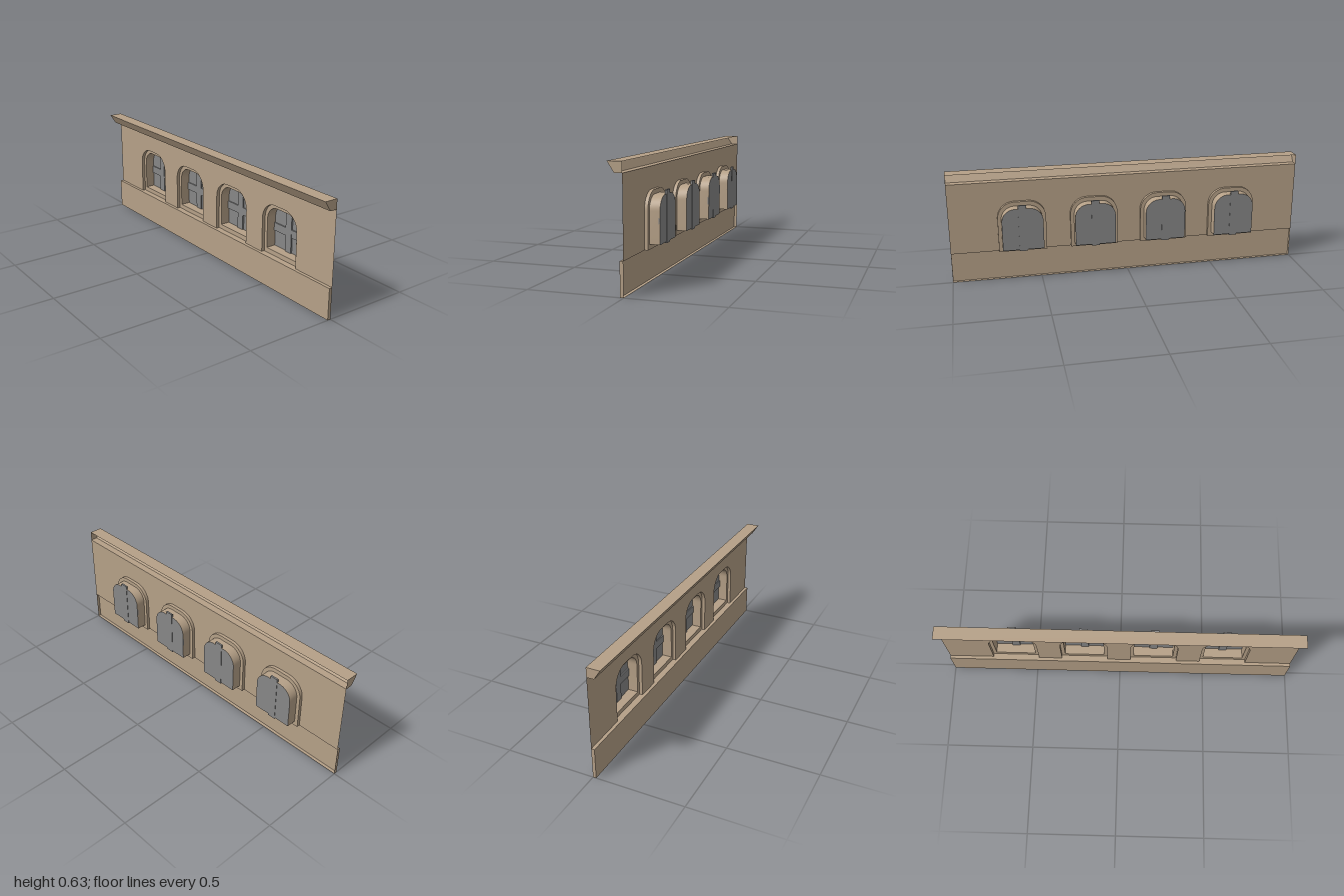
import * as THREE from 'three';
import { mergeGeometries, toCreasedNormals } from 'three/addons/utils/BufferGeometryUtils.js';

const SILL = 0.172, WALL_TOP = 0.576;
const FRAME_Z = -0.018, GLASS_Z = -0.073;
const CENTRES = [-0.61, -0.207, 0.195, 0.6];

// Round-cornered arch outline, counter-clockwise from bottom right to bottom left
function archPoints(half, bottom, top, radius) {
  const pts = [new THREE.Vector2(half, bottom)];
  for (const [cx, start] of [[half - radius, 0], [radius - half, Math.PI / 2]]) {
    for (let i = 0; i <= 10; i++) {
      const a = start + (i / 10) * Math.PI / 2;
      pts.push(new THREE.Vector2(cx + radius * Math.cos(a), top - radius + radius * Math.sin(a)));
    }
  }
  pts.push(new THREE.Vector2(-half, bottom));
  return pts;
}

// Surface swept along z from an outline, without end faces
function sweep(pts, z0, z1, closed) {
  const pos = [];
  const count = closed ? pts.length : pts.length - 1;
  for (let i = 0; i < count; i++) {
    const a = pts[i], b = pts[(i + 1) % pts.length];
    pos.push(a.x, a.y, z0, b.x, b.y, z0, b.x, b.y, z1);
    pos.push(a.x, a.y, z0, b.x, b.y, z1, a.x, a.y, z1);
  }
  const g = new THREE.BufferGeometry();
  g.setAttribute('position', new THREE.Float32BufferAttribute(pos, 3));
  return toCreasedNormals(g, 0.6);
}

// Open-backed moulding along x with capped ends, from a (z, y) profile
function moulding(profile) {
  const pts = profile.map(([z, y]) => new THREE.Vector2(z, y));
  const parts = [sweep(pts, -1, 1, false)];
  for (const z of [-1, 1]) {
    const cap = new THREE.ShapeGeometry(new THREE.Shape(pts)).toNonIndexed();
    cap.deleteAttribute('uv');
    parts.push(cap.translate(0, 0, z));
  }
  return mergeGeometries(parts).rotateY(-Math.PI / 2);
}

export function createModel() {
  const stone = new THREE.MeshStandardMaterial({ color: 0xb5a087, side: THREE.DoubleSide });
  stone.name = 'sandstone';
  const grey = new THREE.MeshStandardMaterial({ color: 0x868686, side: THREE.DoubleSide });
  grey.name = 'windowGrey';

  const model = new THREE.Group();
  model.name = 'windowWall';
  const add = (parent, name, geometry, material) => {
    const mesh = new THREE.Mesh(geometry, material);
    mesh.name = name;
    parent.add(mesh);
    return mesh;
  };

  const outer = archPoints(0.134, SILL, 0.461, 0.095);
  const inner = archPoints(0.114, 0.198, 0.438, 0.075);

  // Thin wall with arched notches along its lower edge
  const outline = [new THREE.Vector2(-1, SILL)];
  for (const cx of CENTRES) {
    for (const p of [...outer].reverse()) outline.push(new THREE.Vector2(p.x + cx, p.y));
  }
  outline.push(new THREE.Vector2(1, SILL), new THREE.Vector2(1, WALL_TOP), new THREE.Vector2(-1, WALL_TOP));
  add(model, 'wall', new THREE.ShapeGeometry(new THREE.Shape(outline)), stone);

  // Base panel and cornice
  add(model, 'basePanel', moulding([[0, SILL], [0.018, SILL], [0.018, 0], [0, 0]]), stone);
  add(model, 'cornice', moulding([[0, 0.63], [0.075, 0.63], [0.04, WALL_TOP], [0, WALL_TOP]]), stone);

  // Stepped window recesses with glazing and bars
  const ring = new THREE.Shape(outer);
  ring.holes.push(new THREE.Path(inner));
  const ringGeo = new THREE.ShapeGeometry(ring).translate(0, 0, FRAME_Z);
  const recessGeo = sweep(outer, 0, FRAME_Z, true);
  const tunnelGeo = sweep(inner, FRAME_Z, GLASS_Z, true);
  const glassGeo = new THREE.ShapeGeometry(new THREE.Shape(inner)).translate(0, 0, GLASS_Z);
  const postGeo = new THREE.BoxGeometry(0.045, 0.267, 0.01).translate(0, 0.3245, -0.07);
  const railGeo = new THREE.BoxGeometry(0.228, 0.044, 0.007).translate(0, 0.308, -0.0695);

  for (const cx of CENTRES) {
    const win = new THREE.Group();
    win.name = 'window';
    win.position.x = cx;
    add(win, 'outerRecess', recessGeo, stone);
    add(win, 'frameFace', ringGeo, stone);
    add(win, 'innerRecess', tunnelGeo, stone);
    add(win, 'pane', glassGeo, grey);
    add(win, 'verticalBar', postGeo, grey);
    add(win, 'crossBar', railGeo, grey);
    model.add(win);
  }
  return model;
}
